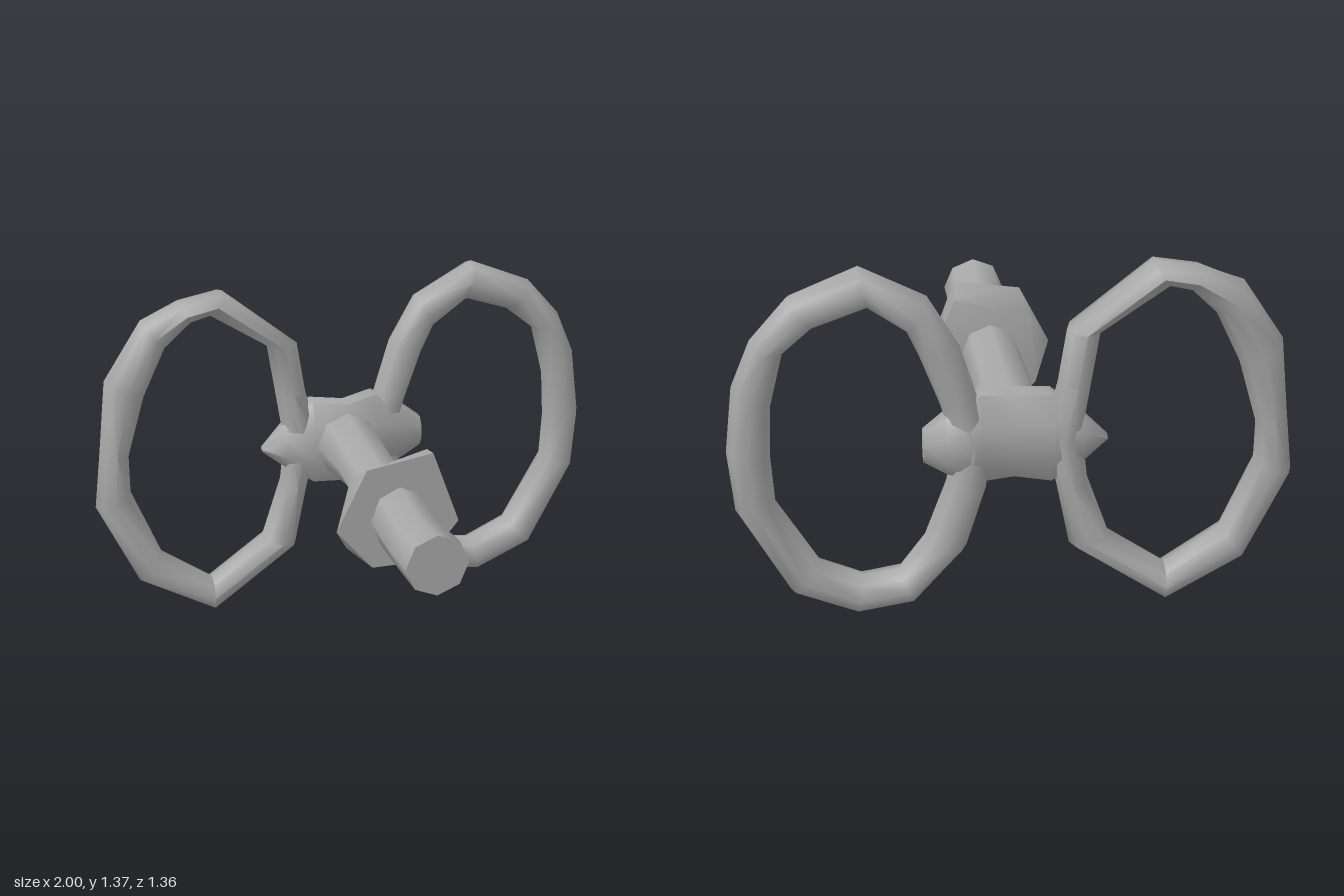
import * as THREE from 'three';
import { toCreasedNormals } from 'three/addons/utils/BufferGeometryUtils.js';

const V = (x, y, z) => new THREE.Vector3(x, y, z);

// Skins a list of equal-sized cross-sections; closed joins the last to the first, otherwise the ends are capped.
function loft(sections, closed, crease) {
  const tris = [];
  const n = sections[0].length;
  const last = closed ? sections.length : sections.length - 1;
  for (let i = 0; i < last; i++) {
    const a = sections[i], b = sections[(i + 1) % sections.length];
    for (let j = 0; j < n; j++) {
      const k = (j + 1) % n;
      tris.push(a[j], b[j], b[k], a[j], b[k], a[k]);
    }
  }
  if (!closed) {
    for (const end of [0, sections.length - 1]) {
      const s = sections[end];
      const mid = s.reduce((sum, p) => sum.add(p), V(0, 0, 0)).divideScalar(n);
      for (let j = 0; j < n; j++) {
        const k = (j + 1) % n;
        if (end === 0) tris.push(mid, s[j], s[k]);
        else tris.push(mid, s[k], s[j]);
      }
    }
  }
  // A negative volume means the faces point inwards, so turn them round.
  let volume = 0;
  for (let i = 0; i < tris.length; i += 3) volume += tris[i].dot(V(0, 0, 0).crossVectors(tris[i + 1], tris[i + 2]));
  if (volume < 0) tris.reverse();
  const geometry = new THREE.BufferGeometry().setFromPoints(tris);
  geometry.computeVertexNormals();
  return toCreasedNormals(geometry, crease);
}

// Ring bar section spanning an outer and an inner point of the outline.
function barSection([ox, oy, ix, iy]) {
  const section = [];
  for (let j = 0; j < 8; j++) {
    const a = (j / 8) * Math.PI * 2;
    const t = 0.5 + 0.5 * Math.cos(a);
    section.push(V(ix + (ox - ix) * t, iy + (oy - iy) * t, -0.59 + 0.078 * Math.sin(a)));
  }
  return section;
}

export function createModel() {
  const group = new THREE.Group();
  const grey = new THREE.MeshStandardMaterial({ color: 0xa8a8a8 });
  grey.name = 'plain grey';

  const add = (name, geometry) => {
    const mesh = new THREE.Mesh(geometry, grey);
    mesh.name = name;
    group.add(mesh);
  };

  // Two irregular oval rings: outer x, y, inner x, y
  const leftRing = [
    [0.53, 1.37, 0.50, 1.22], [0.77, 1.27, 0.68, 1.16], [0.90, 1.12, 0.79, 1.07],
    [0.97, 0.95, 0.84, 0.87], [1.00, 0.70, 0.85, 0.68], [0.98, 0.47, 0.84, 0.50],
    [0.80, 0.13, 0.69, 0.24], [0.57, 0.03, 0.54, 0.17], [0.36, 0.06, 0.41, 0.19],
    [0.17, 0.27, 0.32, 0.32], [0.10, 0.50, 0.24, 0.54], [0.08, 0.70, 0.22, 0.70],
    [0.13, 0.86, 0.26, 0.84], [0.19, 1.06, 0.33, 1.03], [0.30, 1.25, 0.37, 1.12],
  ];
  const rightRing = [
    [-0.47, 1.34, -0.53, 1.25], [-0.64, 1.31, -0.60, 1.23], [-0.79, 1.25, -0.70, 1.13],
    [-0.94, 1.02, -0.79, 0.94], [-0.97, 0.75, -0.86, 0.70], [-1.00, 0.50, -0.86, 0.55],
    [-0.84, 0.16, -0.75, 0.28], [-0.55, 0.00, -0.55, 0.14], [-0.20, 0.25, -0.34, 0.29],
    [-0.15, 0.50, -0.26, 0.52], [-0.10, 0.70, -0.24, 0.70], [-0.15, 0.90, -0.27, 0.90],
    [-0.18, 1.10, -0.30, 1.10],
  ];
  add('leftRing', loft(leftRing.map(barSection), true, 1.0));
  add('rightRing', loft(rightRing.map(barSection), true, 1.0));

  // Round shaft running forward from the hub: z, bottom, top, half width
  const shaft = [
    [0.68, 0.59, 0.82, 0.115], [0.46, 0.575, 0.79, 0.112], [0.23, 0.56, 0.81, 0.11],
    [0.12, 0.57, 0.79, 0.108], [-0.22, 0.61, 0.80, 0.11], [-0.45, 0.56, 0.82, 0.115],
    [-0.56, 0.56, 0.82, 0.13],
  ].map(([z, low, high, w]) => {
    const section = [];
    for (let j = 0; j < 8; j++) {
      const a = (j / 8) * Math.PI * 2;
      section.push(V(w * Math.sin(a) - 0.005, (low + high) / 2 + ((high - low) / 2) * Math.cos(a), z));
    }
    return section;
  });
  add('shaft', loft(shaft, false, 1.1));

  // Skewed six-sided collar on the shaft
  const collarFront = [[0.12, 0.93], [0.22, 0.65], [0.10, 0.50], [-0.11, 0.50], [-0.245, 0.66], [-0.13, 0.89]];
  const collarBack = [[0.13, 0.90], [0.23, 0.65], [0.18, 0.54], [-0.08, 0.445], [-0.18, 0.54], [-0.16, 0.82]];
  add('collar', loft([
    collarFront.map(([x, y]) => V(x, y, 0.23)),
    collarBack.map(([x, y]) => V(x, y, 0.12)),
  ], false, 1.1));

  // Hub bridging the rings: x, middle y, half height, front z, back z
  const hub = [
    [-0.33, 0.67, 0.01, -0.57, -0.60], [-0.24, 0.68, 0.09, -0.52, -0.65], [-0.13, 0.69, 0.17, -0.50, -0.66],
    [0.00, 0.69, 0.16, -0.45, -0.64], [0.12, 0.70, 0.17, -0.48, -0.66], [0.24, 0.69, 0.11, -0.51, -0.68],
    [0.32, 0.68, 0.06, -0.55, -0.63],
  ].map(([x, y, h, front, back]) => {
    const section = [];
    for (let j = 0; j < 8; j++) {
      const a = ((j + 0.5) / 8) * Math.PI * 2;
      section.push(V(x, y + 1.08 * h * Math.cos(a), (front + back) / 2 + 1.08 * ((front - back) / 2) * Math.sin(a)));
    }
    return section;
  });
  add('hub', loft(hub, false, 1.0));

  return group;
}
